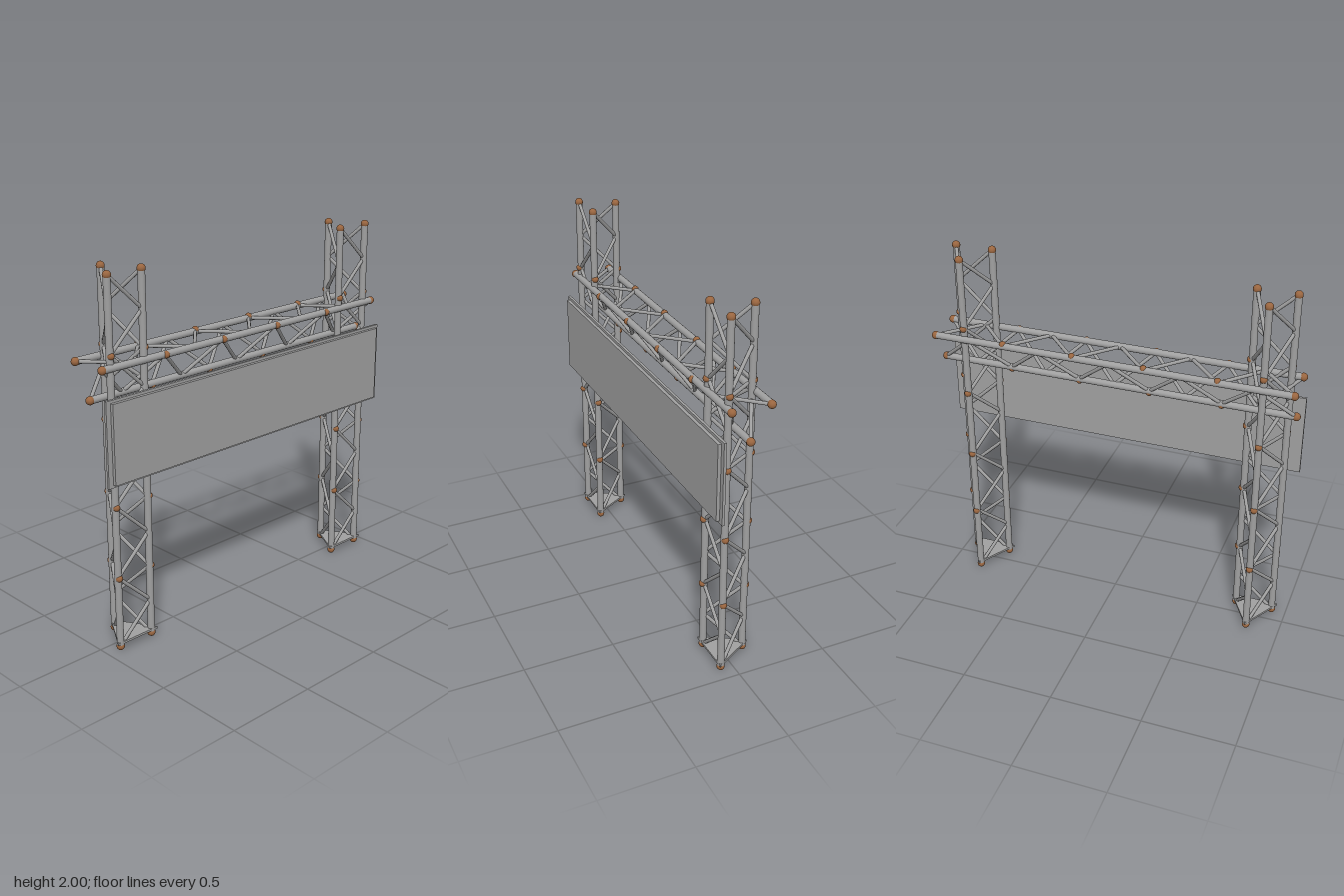
import * as THREE from 'three';

const steel = new THREE.MeshStandardMaterial({ color: 0xa0a0a0 });
steel.name = 'steel grey';
const bronze = new THREE.MeshStandardMaterial({ color: 0x9a6640 });
bronze.name = 'bronze';

const UP = new THREE.Vector3(0, 1, 0);
const LENGTH = 1.96, BAYS = 5, BAY = LENGTH / BAYS;
const CHORD_R = 0.019, BRACE_R = 0.01;

function add(parent, name, geometry, material) {
  const mesh = new THREE.Mesh(geometry, material);
  mesh.name = name;
  parent.add(mesh);
  return mesh;
}

// Round bar between two points
function bar(parent, name, a, b, radius, sides) {
  const dir = b.clone().sub(a);
  const mesh = add(parent, name, new THREE.CylinderGeometry(radius, radius, dir.length(), sides), steel);
  mesh.position.copy(a).add(b).multiplyScalar(0.5);
  mesh.quaternion.setFromUnitVectors(UP, dir.normalize());
}

function ball(parent, name, position, radius) {
  add(parent, name, new THREE.SphereGeometry(radius, 14, 10), bronze).position.copy(position);
}

// Triangular lattice truss: three chords, end balls, offset joints and zigzag braces
function truss(name, chords, jointDirs, axis) {
  const group = new THREE.Group();
  group.name = name;
  const at = (i, t) => chords[i % 3].clone().addScaledVector(axis, t - LENGTH / 2);

  for (let i = 0; i < 3; i++) {
    bar(group, 'chord', at(i, 0), at(i, LENGTH), CHORD_R, 16);
    ball(group, 'endBall', at(i, 0), 0.022);
    ball(group, 'endBall', at(i, LENGTH), 0.022);
    for (let n = 1; n < BAYS; n++) {
      ball(group, 'joint', at(i, n * BAY).addScaledVector(jointDirs[i], 0.009), 0.019);
    }
    // Each face zigzags from its own chord to the next and back
    for (let n = 0; n < BAYS; n++) {
      const middle = at(i + 1, (n + 0.5) * BAY);
      bar(group, 'brace', at(i, n * BAY), middle, BRACE_R, 8);
      bar(group, 'brace', middle, at(i, (n + 1) * BAY), BRACE_R, 8);
    }
  }
  return group;
}

const v = (x, y, z) => new THREE.Vector3(x, y, z);

function tower(name, x) {
  const group = truss(
    name,
    [v(x - 0.104, 1, 0.07), v(x + 0.104, 1, 0.07), v(x, 1, -0.11)],
    [v(0, 0, 1), v(1, 0, 0), v(0, 0, -1)],
    UP
  );
  // Triangular base plate
  const shape = new THREE.Shape([
    new THREE.Vector2(-0.132, -0.087),
    new THREE.Vector2(0.132, -0.087),
    new THREE.Vector2(0, 0.14),
  ]);
  const geometry = new THREE.ExtrudeGeometry(shape, { depth: 0.012, bevelEnabled: false });
  geometry.rotateX(-Math.PI / 2);
  add(group, 'basePlate', geometry, steel).position.set(x, 0.036, 0);
  return group;
}

export function createModel() {
  const model = new THREE.Group();
  model.name = 'trussGate';

  model.add(tower('rightTower', -0.818), tower('leftTower', 0.818));

  // Horizontal beam resting through both towers, apex down
  model.add(truss(
    'crossBeam',
    [v(0, 1.53, 0.083), v(0, 1.355, -0.022), v(0, 1.53, -0.127)],
    [v(0, 0, 1), v(0, -1, 0), v(0, 1, 0)],
    v(1, 0, 0)
  ));

  // Sign board: backing sheet with a smaller raised face
  const sign = new THREE.Group();
  sign.name = 'signBoard';
  add(sign, 'backing', new THREE.BoxGeometry(2, 0.45, 0.014), steel).position.set(0, 1.165, 0.121);
  add(sign, 'face', new THREE.BoxGeometry(1.945, 0.42, 0.018), steel).position.set(0, 1.165, 0.137);
  model.add(sign);

  return model;
}
